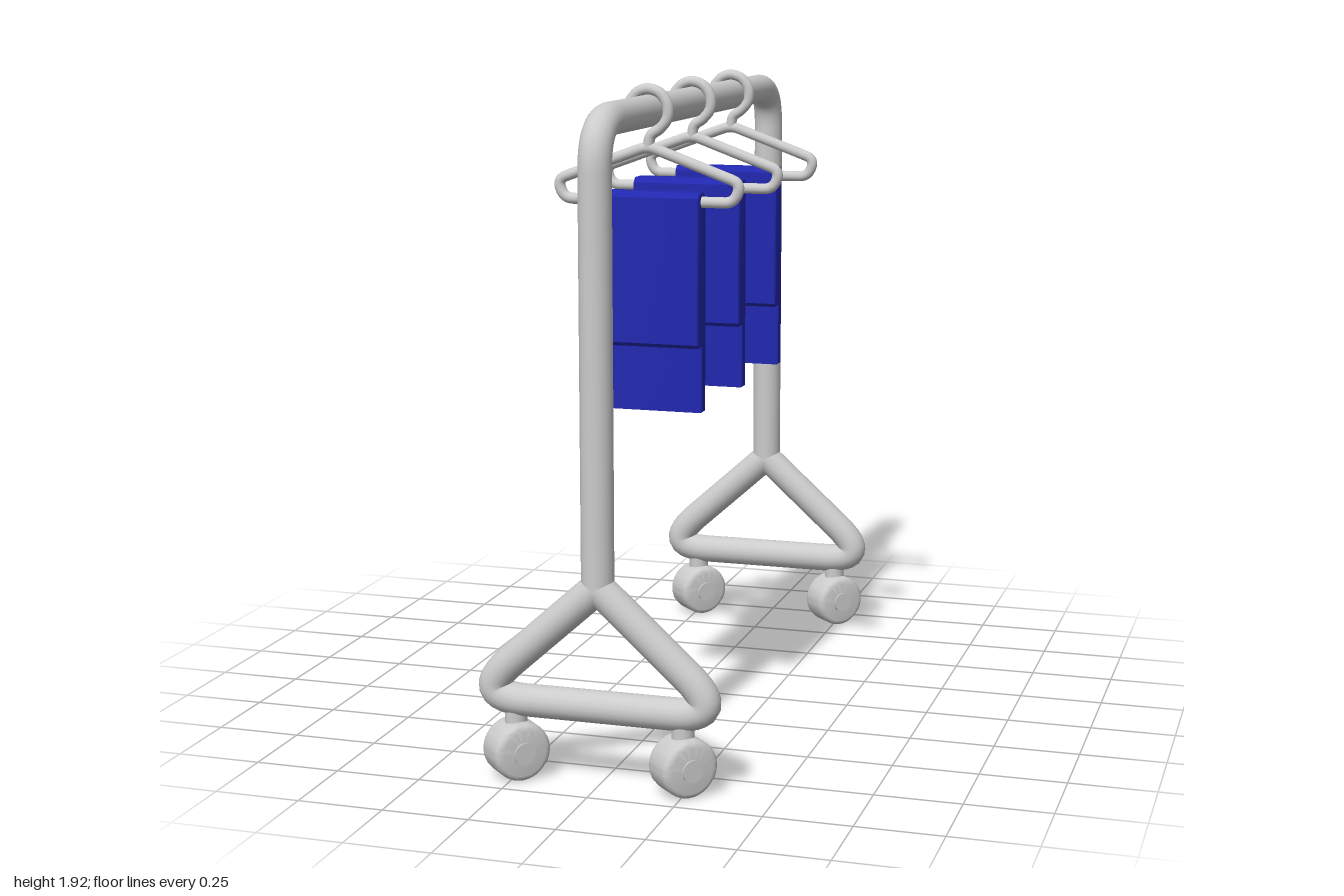
import * as THREE from 'three';
import { toCreasedNormals } from 'three/addons/utils/BufferGeometryUtils.js';

const grey = new THREE.MeshStandardMaterial({ color: 0xcccccc });
const greyOpen = new THREE.MeshStandardMaterial({ color: 0xcccccc, side: THREE.DoubleSide });
const blue = new THREE.MeshStandardMaterial({ color: 0x2228b0 });

function add(parent, name, geometry, material = grey) {
  const mesh = new THREE.Mesh(geometry, material);
  mesh.name = name;
  parent.add(mesh);
  return mesh;
}

// Tube through corner points, each inner corner rounded by its bend distance
function bentTube(points, bend, radius, segments) {
  const path = new THREE.CurvePath();
  const pts = points.map(p => new THREE.Vector3(...p));
  let from = pts[0];
  for (let i = 1; i < pts.length - 1; i++) {
    const a = pts[i].clone().add(pts[i - 1].clone().sub(pts[i]).setLength(bend));
    const b = pts[i].clone().add(pts[i + 1].clone().sub(pts[i]).setLength(bend));
    path.add(new THREE.LineCurve3(from, a));
    path.add(new THREE.QuadraticBezierCurve3(a, pts[i], b));
    from = b;
  }
  path.add(new THREE.LineCurve3(from, pts[pts.length - 1]));
  return new THREE.TubeGeometry(path, segments, radius, 20);
}

// Disc-like solid about the z axis with rounded rims
function roundedDisc(r, half, round, start = 0, length = Math.PI * 2) {
  const profile = [new THREE.Vector2(0, -half)];
  for (const side of [-1, 1]) {
    for (let i = 0; i <= 4; i++) {
      const a = (side < 0 ? -Math.PI / 2 : 0) + i * Math.PI / 8;
      profile.push(new THREE.Vector2(r - round + round * Math.cos(a),
        side * (half - round) + round * Math.sin(a)));
    }
  }
  profile.push(new THREE.Vector2(0, half));
  const g = new THREE.LatheGeometry(profile, 36, start, length).rotateX(Math.PI / 2);
  return toCreasedNormals(g, 0.6);
}

function makeCaster() {
  const caster = new THREE.Group();
  caster.name = 'caster';
  add(caster, 'wheel', roundedDisc(0.083, 0.05, 0.015)).position.y = 0.083;
  // Hood covers the upper part of the wheel
  add(caster, 'wheelHood', roundedDisc(0.085, 0.056, 0.022, Math.PI - 2.11, 4.22), greyOpen)
    .position.y = 0.084;
  add(caster, 'hub', new THREE.CylinderGeometry(0.032, 0.032, 0.122, 24).rotateX(Math.PI / 2))
    .position.y = 0.083;
  add(caster, 'stem', new THREE.CylinderGeometry(0.032, 0.032, 0.08, 24)).position.y = 0.175;
  caster.rotation.y = Math.PI / 4;
  return caster;
}

function makeHanger() {
  const hanger = new THREE.Group();
  hanger.name = 'hanger';
  const wire = 0.016;
  add(hanger, 'hangerFrame', bentTube([
    [0, 1.59, 0], [0.255, 1.59, 0], [0.275, 1.645, 0], [0, 1.745, 0],
    [-0.275, 1.645, 0], [-0.255, 1.59, 0], [0, 1.59, 0]], 0.028, wire, 160));

  // Hook curls over the rail
  const hookPath = new THREE.CatmullRomCurve3([
    [-0.05, 1.878], [-0.03, 1.898], [0, 1.907], [0.035, 1.896], [0.057, 1.865],
    [0.057, 1.825], [0.035, 1.796], [0.008, 1.775], [0, 1.742]
  ].map(([x, y]) => new THREE.Vector3(x, y, 0)));
  add(hanger, 'hook', new THREE.TubeGeometry(hookPath, 60, wire, 16));
  add(hanger, 'hookTip', new THREE.SphereGeometry(wire, 16, 12)).position.set(-0.05, 1.878, 0);

  // Folded cloth: short flap in front, long one behind
  const b = 0.006;
  const side = new THREE.Shape([
    [-0.038 + b, 0.98 + b], [0 - b, 0.98 + b], [0 - b, 1.172 + b], [0.028, 1.172 + b],
    [0.04 - b, 1.185], [0.04 - b, 1.6], [0.022, 1.618 - b],
    [-0.02, 1.618 - b], [-0.038 + b, 1.6]
  ].map(([z, y]) => new THREE.Vector2(-z, y)));
  const cloth = new THREE.ExtrudeGeometry(side, {
    depth: 0.335 - 2 * b, bevelEnabled: true, bevelSize: b, bevelThickness: b, bevelSegments: 3
  });
  cloth.translate(0, 0, -0.1675 + b).rotateY(Math.PI / 2);
  add(hanger, 'foldedCloth', toCreasedNormals(cloth, 0.6), blue).position.x = -0.007;
  return hanger;
}

export function createModel() {
  const model = new THREE.Group();
  model.name = 'clothesRack';
  const endZ = 0.895, tube = 0.046;

  // Posts and rail in one bent tube
  add(model, 'rail', bentTube([
    [0, 0.56, endZ], [0, 1.845, endZ], [0, 1.845, -endZ], [0, 0.56, -endZ]], 0.135, tube, 200));

  for (const s of [1, -1]) {
    // Triangular foot with two casters
    const foot = new THREE.Group();
    foot.name = 'foot';
    foot.position.z = s * endZ;
    add(foot, 'footFrame', bentTube([
      [0, 0.57, 0], [0.38, 0.228, 0], [-0.38, 0.228, 0], [0, 0.57, 0]], 0.17, tube, 120));
    add(foot, 'footJoint', new THREE.SphereGeometry(tube, 20, 14)).position.y = 0.565;
    for (const x of [-0.245, 0.245]) {
      const caster = makeCaster();
      caster.position.x = x;
      foot.add(caster);
    }
    model.add(foot);
  }

  for (const z of [-0.43, 0, 0.43]) {
    const hanger = makeHanger();
    hanger.position.z = z;
    model.add(hanger);
  }
  return model;
}
